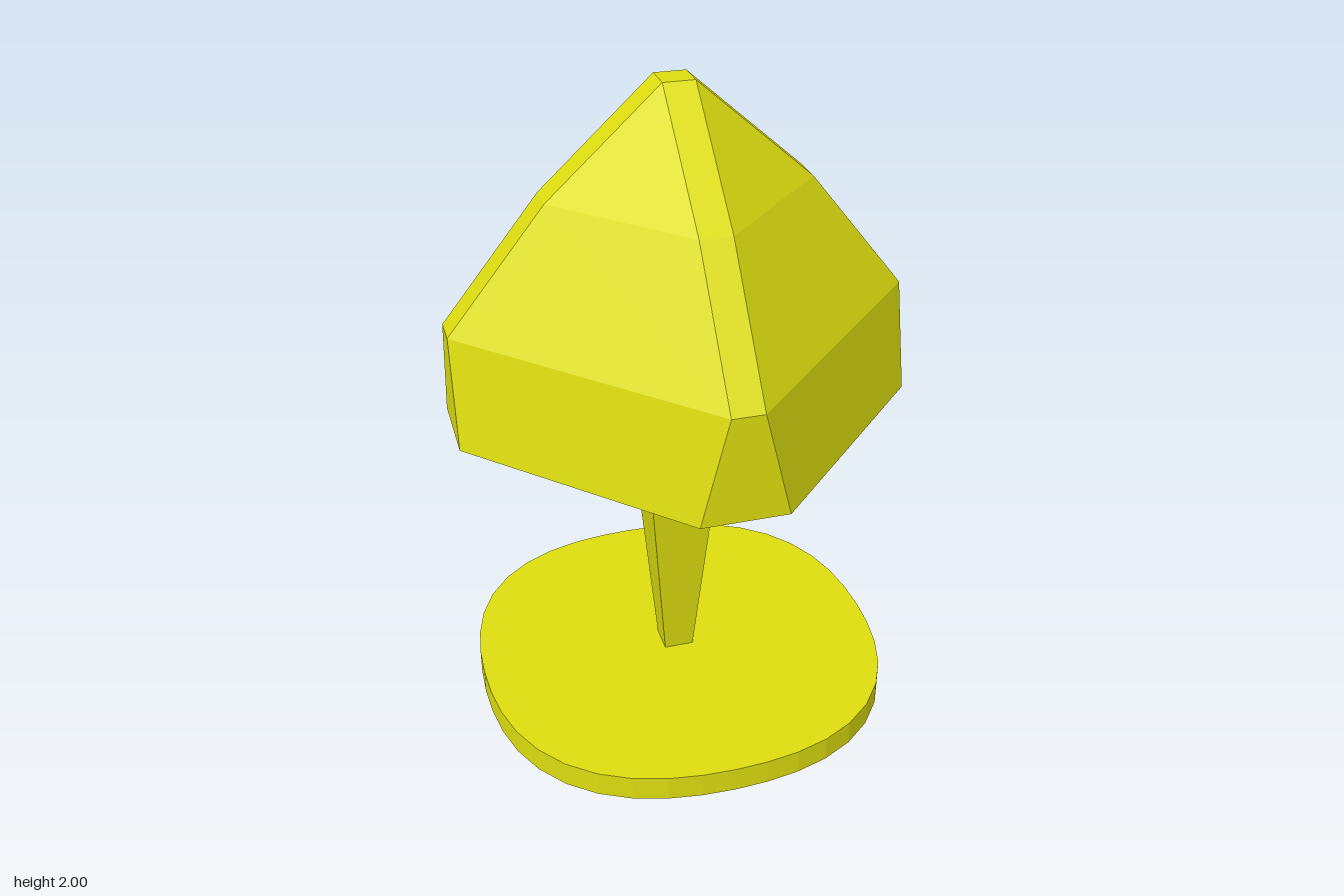
import * as THREE from 'three';

const material = new THREE.MeshStandardMaterial({ color: 0xdddd10, flatShading: true });
const SHIFT = -0.008; // stem and ridges sit slightly off the middle

// Closed solid through matching rings of points, listed bottom to top
function loft(name, rings) {
  const pos = [];
  const tri = (...pts) => pts.forEach((p) => pos.push(p.x, p.y, p.z));
  const n = rings[0].length;
  const mid = (ring) => ring.reduce((s, p) => s.add(p), new THREE.Vector3()).divideScalar(n);
  const top = rings[rings.length - 1];
  const low = mid(rings[0]), high = mid(top);
  for (let i = 0; i < n; i++) {
    const j = (i + 1) % n;
    for (let k = 0; k < rings.length - 1; k++) {
      const a = rings[k], b = rings[k + 1];
      tri(a[i], b[i], b[j]);
      if (!a[i].equals(a[j])) tri(a[i], b[j], a[j]);
    }
    tri(low, rings[0][i], rings[0][j]);
    tri(high, top[j], top[i]);
  }
  const geo = new THREE.BufferGeometry();
  geo.setAttribute('position', new THREE.Float32BufferAttribute(pos, 3));
  geo.computeVertexNormals();
  const mesh = new THREE.Mesh(geo, material);
  mesh.name = name;
  return mesh;
}

// Diamond with its four corners cut off: reach r, half width h of each cut
function cutDiamond(y, r, h, rShift = 0) {
  return [[r, -h], [r, h], [h, r], [-h, r], [-r, h], [-r, -h], [-h, -r], [h, -r]].map(([x, z]) =>
    new THREE.Vector3(
      x + (Math.abs(x) === r ? rShift : SHIFT), y,
      z + (Math.abs(z) === r ? rShift : SHIFT)));
}

function square(y, h) {
  return [[h, -h], [h, h], [-h, h], [-h, -h]].map(([x, z]) =>
    new THREE.Vector3(x + SHIFT, y, z + SHIFT));
}

// Round base that swells slightly on the diagonals
function baseRing(y) {
  return Array.from({ length: 40 }, (_, i) => {
    const a = (i / 40) * Math.PI * 2;
    const r = 0.648 + 0.038 * Math.sin(2 * a) ** 2;
    return new THREE.Vector3(r * Math.cos(a) - 0.004, y, r * Math.sin(a) - 0.004);
  });
}

export function createModel() {
  const model = new THREE.Group();
  model.name = 'facetedKnobOnStand';
  model.add(
    loft('base', [baseRing(0), baseRing(0.08)]),
    loft('stem', [square(0.08, 0.047), square(1, 0.127)]),
    loft('head', [
      cutDiamond(1, 0.683, 0.127),
      cutDiamond(1.32, 0.683, 0.047),
      cutDiamond(1.69, 0.39, 0.047),
      cutDiamond(2, 0.047, 0.047, SHIFT),
    ]),
  );
  return model;
}
